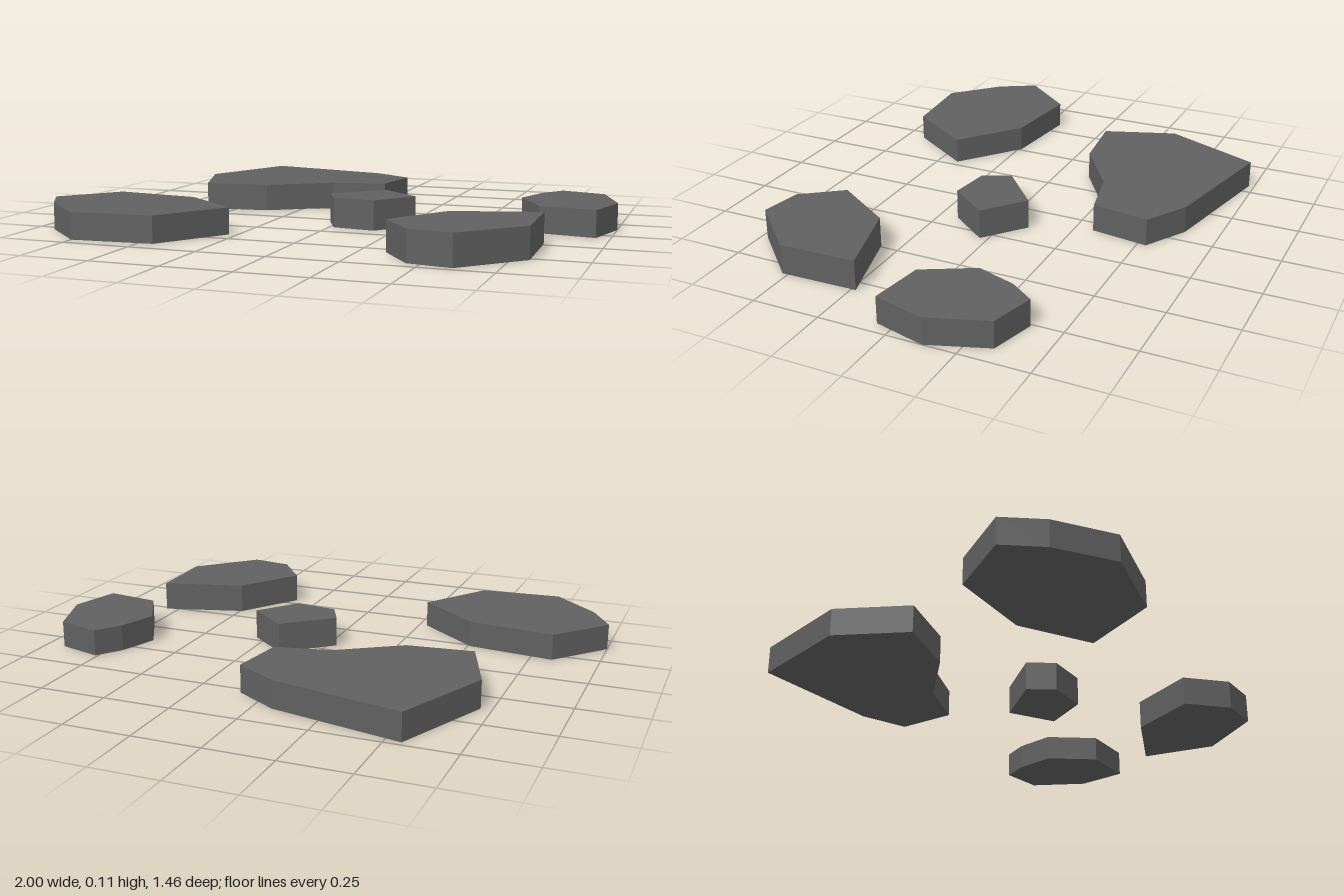
import * as THREE from 'three';

// Outline corners are [x, z] on the ground plane.
const STONES = [
  { name: 'largeBackStone', height: 0.102, outline: [
    [-0.556, -0.73], [-0.07, -0.626], [0.09, -0.532], [0.06, -0.318],
    [-0.145, -0.275], [-0.37, -0.126], [-0.615, -0.099], [-0.711, -0.366]] },
  { name: 'leftSideStone', height: 0.098, outline: [
    [0.76, -0.388], [0.925, -0.342], [1, -0.131], [0.95, 0.06],
    [0.745, 0.03], [0.647, -0.152], [0.695, -0.297]] },
  { name: 'smallCentreStone', height: 0.11, outline: [
    [0.14, -0.094], [0.29, -0.03 + 0.06], [0.176, 0.179], [0.017, 0.158], [-0.033, 0.056]] },
  { name: 'rightFrontStone', height: 0.097, outline: [
    [-0.83, 0.2], [-0.51, 0.238], [-0.28, 0.422], [-0.447, 0.674],
    [-0.75, 0.698], [-0.92, 0.537], [-1, 0.398]] },
  { name: 'leftFrontStone', height: 0.11, outline: [
    [0.8, 0.233], [0.808, 0.521], [0.61, 0.725], [0.454, 0.7],
    [0.342, 0.55], [0.492, 0.32]] },
];

// Flat slab standing on the ground, extruded upwards from its outline.
function makeStone({ name, height, outline }, material) {
  const shape = new THREE.Shape(outline.map(([x, z]) => new THREE.Vector2(x, -z)));
  const geometry = new THREE.ExtrudeGeometry(shape, { depth: height, bevelEnabled: false });
  geometry.rotateX(-Math.PI / 2);
  const mesh = new THREE.Mesh(geometry, material);
  mesh.name = name;
  return mesh;
}

export function createModel() {
  const group = new THREE.Group();
  group.name = 'steppingStones';
  const stone = new THREE.MeshStandardMaterial({ color: 0x606060 });
  stone.name = 'dark grey stone';
  for (const s of STONES) group.add(makeStone(s, stone));
  return group;
}
